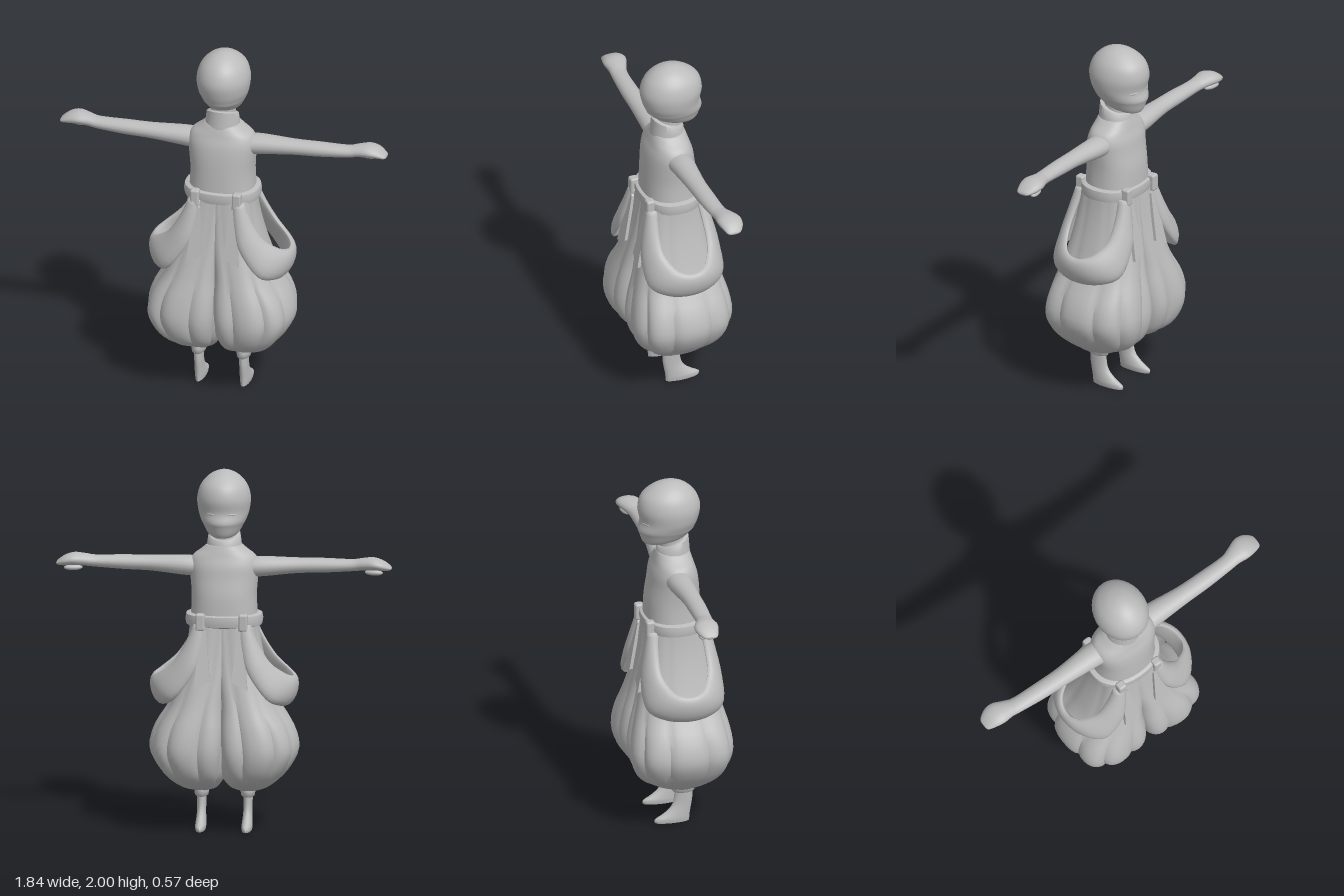
import * as THREE from 'three';
import { toCreasedNormals } from 'three/addons/utils/BufferGeometryUtils.js';
import { RoundedBoxGeometry } from 'three/addons/geometries/RoundedBoxGeometry.js';

const grey = new THREE.MeshStandardMaterial({ color: 0xbcbcbc });
grey.name = 'plain grey';

// Catmull-Rom subdivision of a list of number rows
function smooth(rows, k) {
  const out = [];
  const last = rows.length - 1;
  for (let s = 0; s < last; s++) {
    const [a, b, c, d] = [-1, 0, 1, 2].map((o) => rows[Math.min(last, Math.max(0, s + o))]);
    for (let j = 0; j < k; j++) {
      const t = j / k;
      out.push(b.map((_, i) => 0.5 * (2 * b[i] + (c[i] - a[i]) * t
        + (2 * a[i] - 5 * b[i] + 4 * c[i] - d[i]) * t * t
        + (3 * b[i] - a[i] - 3 * c[i] + d[i]) * t * t * t)));
    }
  }
  out.push(rows[last]);
  return out;
}

// Closed skin over a list of rings, with both ends capped
function loft(rings) {
  const n = rings[0].length, m = rings.length;
  const pos = rings.flat(2), index = [];
  for (let j = 0; j < m - 1; j++) {
    for (let i = 0; i < n; i++) {
      const a = j * n + i, b = j * n + (i + 1) % n;
      index.push(a, a + n, b, b, a + n, b + n);
    }
  }
  [0, m - 1].forEach((j, end) => {
    const centre = [0, 1, 2].map((c) => rings[j].reduce((s, p) => s + p[c], 0) / n);
    const id = m * n + end;
    pos.push(...centre);
    for (let i = 0; i < n; i++) {
      const a = j * n + i, b = j * n + (i + 1) % n;
      if (end) index.push(id, b, a); else index.push(id, a, b);
    }
  });
  const g = new THREE.BufferGeometry();
  g.setAttribute('position', new THREE.Float32BufferAttribute(pos, 3));
  g.setIndex(index);
  g.computeVertexNormals();
  return g;
}

// Upright body from rows [y, cx, cz, rx, rz, tilt]; power squares off the oval
function upright(rows, n = 32, power = 2, pleat = () => 1) {
  const bend = (v) => Math.sign(v) * Math.pow(Math.abs(v), 2 / power);
  return loft(rows.map(([y, cx, cz, rx, rz, tilt]) => Array.from({ length: n }, (_, i) => {
    const a = (i / n) * Math.PI * 2, f = pleat(a, y);
    const z = cz + rz * f * bend(Math.sin(a));
    return [cx + rx * f * bend(Math.cos(a)), y + tilt * z, z];
  })));
}

// Reflected copy with corner order kept outward
function mirror(geo, axis) {
  const g = geo.clone();
  g.scale(axis === 'x' ? -1 : 1, 1, axis === 'z' ? -1 : 1);
  const ids = g.index ? Array.from(g.index.array) : Array.from({ length: g.attributes.position.count }, (_, i) => i);
  for (let i = 0; i < ids.length; i += 3) [ids[i + 1], ids[i + 2]] = [ids[i + 2], ids[i + 1]];
  g.setIndex(ids);
  return g;
}

export function createModel() {
  const model = new THREE.Group();
  model.name = 'figure';
  const add = (name, geo) => {
    const mesh = new THREE.Mesh(geo, grey);
    mesh.name = name;
    model.add(mesh);
  };
  const pair = (name, geo) => {
    add(name + 'Left', geo);
    add(name + 'Right', mirror(geo, 'x'));
  };

  // Head, with the face towards -z
  add('head', upright(smooth([
    [1.652, 0, -0.075, 0.035, 0.05, 0.12],
    [1.667, 0, -0.05, 0.082, 0.115, 0.12],
    [1.71, 0, -0.037, 0.112, 0.15, 0.05],
    [1.735, 0, -0.035, 0.125, 0.16, 0.03],
    [1.78, 0, -0.021, 0.14, 0.162, 0],
    [1.85, 0, -0.021, 0.147, 0.174, 0],
    [1.92, 0, -0.023, 0.127, 0.153, 0],
    [1.97, 0, -0.018, 0.083, 0.1, 0],
    [1.994, 0, -0.015, 0.037, 0.045, 0],
    [2.0, 0, -0.015, 0.006, 0.008, 0]], 4), 36));
  const eye = new THREE.SphereGeometry(1, 16, 8);
  eye.scale(0.028, 0.006, 0.004);
  eye.rotateY(-0.51);
  eye.translate(0.06, 1.776, -0.165);
  pair('eyeSlit', eye);

  // Neck, collar and torso
  add('neck', new THREE.CylinderGeometry(0.07, 0.07, 0.16, 24).translate(0, 1.65, -0.005));
  add('collar', toCreasedNormals(upright([
    [1.56, 0, 0, 0.1, 0.096, 0.1],
    [1.595, 0, 0, 0.094, 0.092, 0.25],
    [1.64, 0, 0, 0.088, 0.088, 0.36],
    [1.646, 0, 0, 0.08, 0.08, 0.36]], 32), 0.9));
  add('torso', upright(smooth([
    [1.16, 0, -0.005, 0.185, 0.155, 0],
    [1.3, 0, -0.005, 0.178, 0.149, 0],
    [1.4, 0, 0, 0.185, 0.137, 0],
    [1.47, 0, 0, 0.19, 0.126, 0],
    [1.52, 0, 0, 0.174, 0.11, 0],
    [1.555, 0, 0, 0.13, 0.1, 0],
    [1.585, 0, 0, 0.094, 0.09, 0]], 4), 40, 2.3));

  // Arms and mitten hands, rows [x, cy, cz, ry, rz]
  const arm = smooth([
    [0.14, 1.46, -0.005, 0.055, 0.07],
    [0.22, 1.465, -0.008, 0.055, 0.067],
    [0.4, 1.472, -0.003, 0.043, 0.053],
    [0.55, 1.475, -0.004, 0.04, 0.05],
    [0.7, 1.479, -0.01, 0.033, 0.046],
    [0.76, 1.487, -0.02, 0.034, 0.053],
    [0.82, 1.492, -0.028, 0.035, 0.067],
    [0.87, 1.484, -0.03, 0.029, 0.06],
    [0.91, 1.471, -0.025, 0.014, 0.04],
    [0.92, 1.468, -0.025, 0.004, 0.02]], 4);
  pair('arm', loft(arm.map(([x, cy, cz, ry, rz]) => Array.from({ length: 20 }, (_, i) => {
    const a = (i / 20) * Math.PI * 2;
    return [x, cy + ry * Math.cos(a), cz - rz * Math.sin(a)];
  }))));
  const thumb = new THREE.SphereGeometry(1, 14, 10);
  thumb.scale(0.052, 0.016, 0.022);
  thumb.rotateY(0.2);
  thumb.translate(0.825, 1.447, -0.05);
  pair('thumb', thumb);

  // Ballooning trouser legs with sharp pleats between puffed lobes
  const puff = (a, y) => {
    const amp = 0.03 + 0.07 * Math.exp(-(((y - 0.45) / 0.25) ** 2));
    const lobe = Math.floor((a * 9) / (Math.PI * 2) + 0.5) % 9;
    const edge = Math.pow(Math.abs(Math.cos(a * 4.5)), 0.7);
    return 1.015 - amp * (1 - edge) + 0.025 * edge * Math.sin(lobe * 2.3);
  };
  pair('trouserLeg', toCreasedNormals(upright(smooth([
    [0.215, 0.13, 0.02, 0.045, 0.05, 0],
    [0.235, 0.135, 0.01, 0.1, 0.1, 0],
    [0.29, 0.15, 0, 0.155, 0.21, 0],
    [0.36, 0.165, 0, 0.2, 0.265, 0],
    [0.46, 0.175, 0, 0.232, 0.29, 0],
    [0.58, 0.16, 0, 0.218, 0.275, 0],
    [0.72, 0.125, 0, 0.168, 0.237, 0],
    [0.9, 0.085, 0, 0.148, 0.196, 0],
    [1.05, 0.065, 0, 0.133, 0.172, 0],
    [1.16, 0.055, 0, 0.13, 0.158, 0]], 3), 72, 2.4, puff), 0.7));

  // Ankle cuffs, legs and feet
  pair('ankleCuff', toCreasedNormals(upright([
    [0.178, 0.127, 0.028, 0.03, 0.054, 0],
    [0.184, 0.127, 0.028, 0.037, 0.062, 0],
    [0.21, 0.127, 0.028, 0.041, 0.066, 0],
    [0.24, 0.127, 0.028, 0.038, 0.062, 0]], 24), 0.9));
  pair('foot', toCreasedNormals(upright(smooth([
    [0, 0.127, -0.036, 0.026, 0.096, 0],
    [0.02, 0.127, -0.036, 0.03, 0.098, 0],
    [0.05, 0.127, -0.01, 0.028, 0.075, 0],
    [0.09, 0.127, 0.015, 0.025, 0.057, 0],
    [0.14, 0.127, 0.027, 0.025, 0.052, 0],
    [0.22, 0.127, 0.028, 0.028, 0.05, 0]], 3), 20), 0.9));

  // Belt with four knots
  add('belt', toCreasedNormals(upright([
    [1.138, 0, -0.004, 0.185, 0.15, 0],
    [1.146, 0, -0.004, 0.208, 0.166, 0],
    [1.175, 0, -0.004, 0.213, 0.172, 0],
    [1.203, 0, -0.004, 0.208, 0.168, 0],
    [1.211, 0, -0.004, 0.18, 0.15, 0]], 40, 2.3), 0.9));
  for (const z of [-0.158, 0.15]) {
    pair(z < 0 ? 'frontKnot' : 'backKnot',
      new RoundedBoxGeometry(0.05, 0.095, 0.05, 2, 0.012).translate(0.118, 1.175, z));
  }

  // Hanging sash tails, leaning outwards over the trousers
  const tailShape = new THREE.Shape([[0.115, 1.15], [0.085, 1.12], [0.06, 0.855], [0.148, 0.81]]
    .map(([x, y]) => new THREE.Vector2(x, y)));
  const tail = new THREE.ExtrudeGeometry(tailShape, { depth: 0.018, bevelEnabled: false });
  const p = tail.attributes.position;
  for (let i = 0; i < p.count; i++) p.setZ(i, p.getZ(i) + 0.15 + (1.15 - p.getY(i)) * 0.2);
  tail.computeVertexNormals();
  pair('backTail', tail);
  pair('frontTail', mirror(tail, 'z'));

  // Side drapes: a swag of cloth, rows hold upper edge xyz then lower edge xyz
  const half = [
    [0.15, 1.16, 0.12, 0.085, 1.16, 0.15],
    [0.2, 1.05, 0.132, 0.108, 1.03, 0.185],
    [0.265, 0.95, 0.13, 0.15, 0.9, 0.215],
    [0.34, 0.888, 0.09, 0.25, 0.76, 0.215],
    [0.373, 0.867, 0.045, 0.32, 0.712, 0.13]];
  const flip = (r) => r.map((v, i) => (i % 3 === 2 ? -v : v));
  const edges = smooth([...half.map(flip), [0.38, 0.86, 0, 0.345, 0.698, 0], ...half.slice().reverse()], 4);
  pair('sideDrape', loft(edges.map(([ux, uy, uz, lx, ly, lz]) => {
    const out = new THREE.Vector2(ux + lx, (uz + lz) * 1.5).normalize();
    return Array.from({ length: 16 }, (_, i) => {
      const a = (i / 16) * Math.PI * 2, t = 0.5 - 0.5 * Math.cos(a);
      const w = Math.sin(a) * (a < Math.PI ? 0.042 : 0.012);
      return [ux + (lx - ux) * t + out.x * w, uy + (ly - uy) * t, uz + (lz - uz) * t + out.y * w];
    });
  })));

  return model;
}
